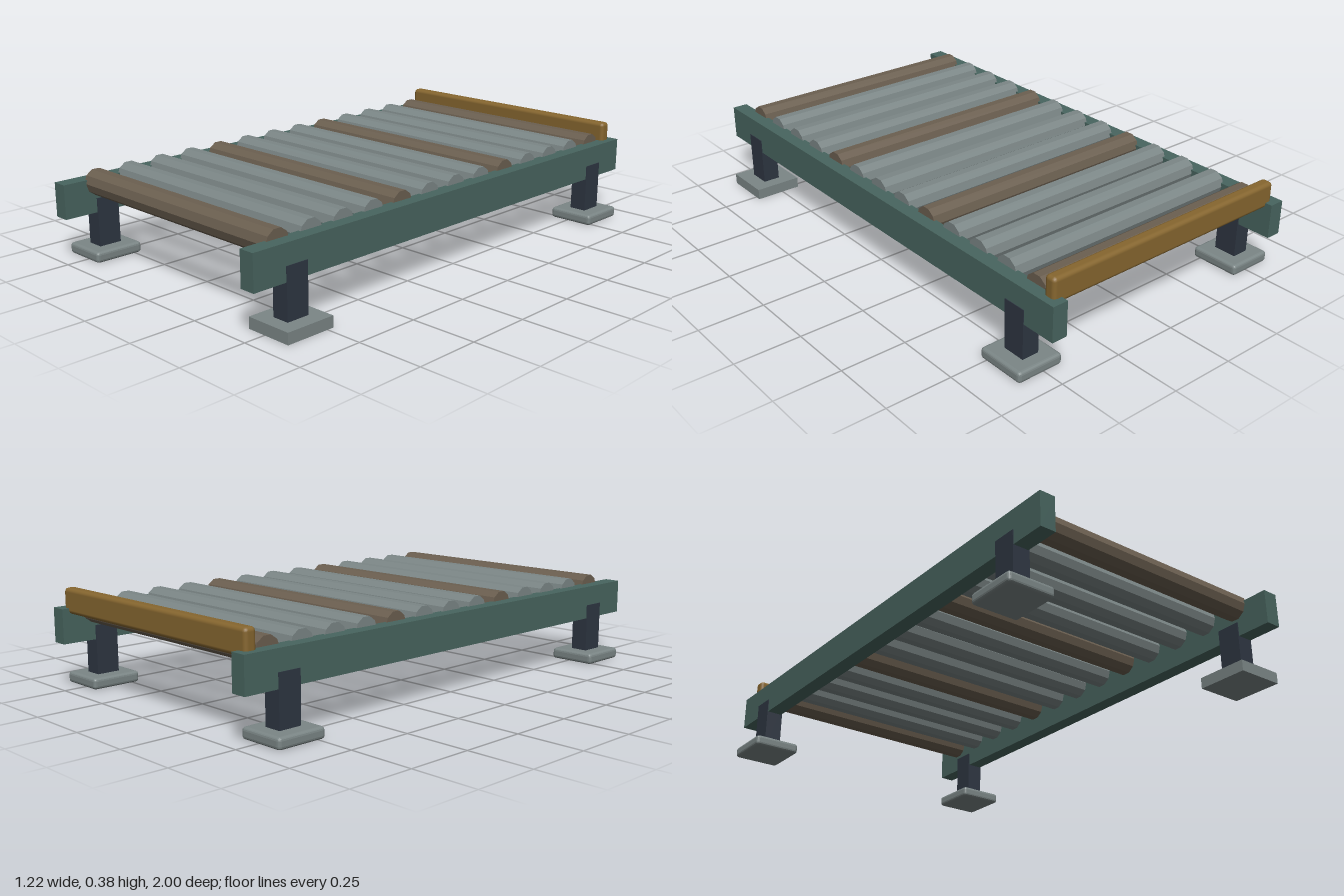
import * as THREE from 'three';
import { RoundedBoxGeometry } from 'three/addons/geometries/RoundedBoxGeometry.js';

const material = (name, color, flatShading = false) => {
  const m = new THREE.MeshStandardMaterial({ color, flatShading });
  m.name = name;
  return m;
};

export function createModel() {
  const model = new THREE.Group();
  model.name = 'rollerConveyor';

  const railGreen = material('railGreen', 0x48655f);
  const steel = material('steel', 0x7b8686, true);
  const brownRubber = material('brownRubber', 0x6b5f50, true);
  const legNavy = material('legNavy', 0x2e3642);
  const ochre = material('ochre', 0x86662f);

  const add = (name, geometry, mat, x, y, z) => {
    const mesh = new THREE.Mesh(geometry, mat);
    mesh.name = name;
    mesh.position.set(x, y, z);
    model.add(mesh);
    return mesh;
  };

  // Long side rails, with a leg and a foot pad near each end
  const railGeo = new THREE.BoxGeometry(0.06, 0.13, 2);
  const legGeo = new THREE.BoxGeometry(0.067, 0.224, 0.09);
  const softFootGeo = new RoundedBoxGeometry(0.184, 0.042, 0.194, 2, 0.012);
  const squareFootGeo = new THREE.BoxGeometry(0.184, 0.042, 0.194);
  for (const sx of [-1, 1]) {
    const side = sx > 0 ? 'left' : 'right';
    add(side + 'Rail', railGeo, railGreen, sx * 0.519, 0.24, 0);
    for (const sz of [-1, 1]) {
      const corner = side + (sz > 0 ? 'Front' : 'Back');
      add(corner + 'Leg', legGeo, legNavy, sx * 0.518, 0.117, sz * 0.822);
      // Only the left front pad has sharp edges
      const footGeo = sx > 0 && sz > 0 ? squareFootGeo : softFootGeo;
      add(corner + 'Foot', footGeo, steel, sx * 0.518, 0.021, sz * 0.822);
    }
  }

  // Thirteen ten-sided rollers, every fourth one brown
  const rollerGeo = new THREE.CylinderGeometry(0.05, 0.05, 1, 10);
  rollerGeo.rotateZ(Math.PI / 2);
  for (let i = 0; i < 13; i++) {
    const driven = i % 4 === 0;
    add(driven ? 'brownRoller' : 'steelRoller', rollerGeo, driven ? brownRubber : steel,
      0, 0.291, 0.857 - i * 0.1437);
  }

  // End stop bar across the back
  add('endStop', new RoundedBoxGeometry(1.044, 0.095, 0.047, 2, 0.015), ochre, 0, 0.331, -0.949);

  return model;
}
